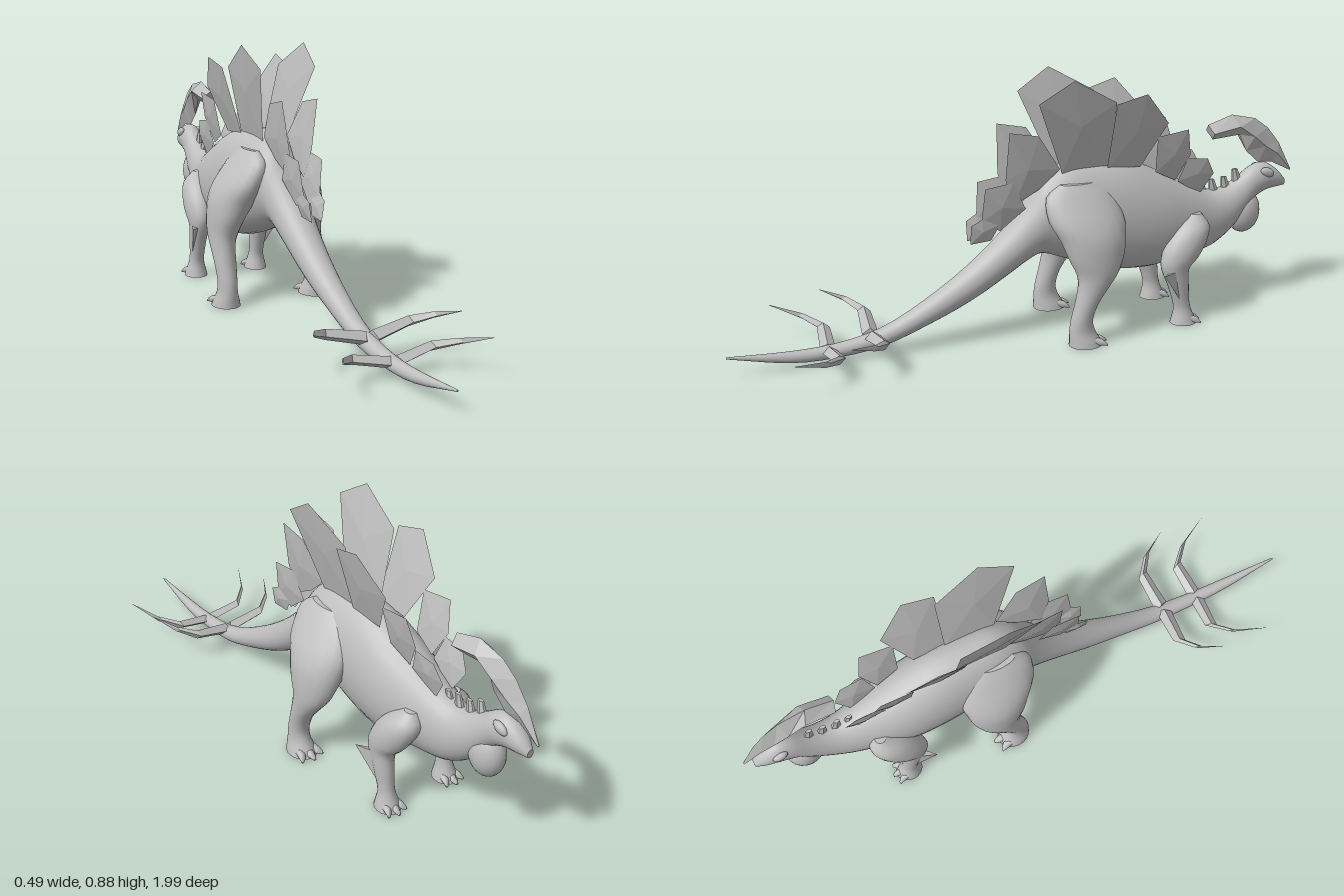
import * as THREE from 'three';

const V = (x, y, z) => new THREE.Vector3(x, y, z);
const skin = new THREE.MeshStandardMaterial({ color: 0xbebebe });
skin.name = 'grey skin';

// Closed indexed geometry, turned so that its faces point outward
function solid(points, index, flat) {
  let volume = 0;
  for (let i = 0; i < index.length; i += 3) {
    const [a, b, c] = [0, 1, 2].map(k => points[index[i + k]]);
    volume += a.dot(V().copy(b).cross(c));
  }
  if (volume < 0) index.reverse();
  let geo = new THREE.BufferGeometry().setFromPoints(points);
  geo.setIndex(index);
  if (flat) geo = geo.toNonIndexed();
  geo.computeVertexNormals();
  return geo;
}

// Skin over elliptical rings; each row is [centre, radius vector u, radius vector v]
function loft(rows, { seg = 20, steps = 3, flat = false } = {}) {
  const n = (rows.length - 1) * steps;
  const curves = [0, 1, 2].map(k => new THREE.CatmullRomCurve3(rows.map(r => r[k]), false, 'catmullrom', 0.5));
  const points = [], index = [];
  for (let i = 0; i <= n; i++) {
    const [c, u, v] = curves.map(curve => curve.getPoint(i / n));
    for (let j = 0; j < seg; j++) {
      const t = j / seg * Math.PI * 2;
      points.push(c.clone().addScaledVector(u, Math.cos(t)).addScaledVector(v, Math.sin(t)));
    }
  }
  for (let i = 0; i < n; i++) for (let j = 0; j < seg; j++) {
    const k = (j + 1) % seg, a = i * seg + j, b = i * seg + k;
    index.push(a, b, a + seg, b, b + seg, a + seg);
  }
  // Separate end caps keep the rims sharp
  for (const end of [0, n]) {
    const base = points.length;
    for (let j = 0; j < seg; j++) points.push(points[end * seg + j].clone());
    points.push(curves[0].getPoint(end / n));
    for (let j = 0; j < seg; j++) {
      const k = (j + 1) % seg;
      if (end) index.push(base + j, base + k, base + seg);
      else index.push(base + k, base + j, base + seg);
    }
  }
  return solid(points, index, flat);
}

// Back plate: an outline of [z, y] leaning outward, slightly raised in the middle
function plate(outline, x0, y0, lean, side) {
  const X = y => Math.max(0.008, x0 + lean * (y - y0));
  const points = outline.map(([z, y]) => V(side * X(y), y, z));
  const n = points.length, mid = V(0, 0, 0), index = [];
  points.forEach(p => mid.addScaledVector(p, 1 / n));
  points.push(mid.clone().add(V(0.008, 0, 0)), mid.clone().add(V(-0.008, 0, 0)));
  for (let j = 0; j < n; j++) index.push(j, (j + 1) % n, n, (j + 1) % n, j, n + 1);
  return solid(points, index, true);
}

// Leg rows: [y, x, half width, rear z, front z]
const legRow = side => ([y, x, a, z0, z1]) =>
  [V(side * x, y, (z0 + z1) / 2), V(a, 0, 0), V(0, 0, (z0 - z1) / 2)];

// Body rows: [z, top, bottom, half width]
const bodyRow = ([z, top, bottom, w]) =>
  [V(0, (top + bottom) / 2, z), V(w, 0, 0), V(0, (top - bottom) / 2, 0)];

const BODY = [
  [0.995, 0.072, 0.066, 0.003], [0.8, 0.058, 0.02, 0.018], [0.65, 0.06, 0.014, 0.024],
  [0.5, 0.09, 0.03, 0.03], [0.35, 0.165, 0.08, 0.038], [0.2, 0.265, 0.145, 0.05],
  [0.08, 0.37, 0.215, 0.062], [0, 0.465, 0.265, 0.075], [-0.05, 0.535, 0.28, 0.087],
  [-0.12, 0.578, 0.255, 0.1], [-0.2, 0.587, 0.225, 0.112], [-0.33, 0.578, 0.187, 0.12],
  [-0.45, 0.53, 0.18, 0.118], [-0.55, 0.48, 0.198, 0.1], [-0.66, 0.43, 0.215, 0.074],
  [-0.73, 0.43, 0.25, 0.058], [-0.79, 0.46, 0.305, 0.048], [-0.84, 0.495, 0.37, 0.042],
  [-0.89, 0.503, 0.4, 0.039], [-0.94, 0.472, 0.408, 0.028], [-0.972, 0.437, 0.41, 0.012],
];
const HIND = [
  [0.53, 0.07, 0.02, -0.09, -0.21], [0.49, 0.075, 0.048, -0.04, -0.27], [0.42, 0.1, 0.072, -0.04, -0.3],
  [0.36, 0.125, 0.073, -0.07, -0.298], [0.3, 0.145, 0.06, -0.092, -0.285], [0.25, 0.156, 0.05, -0.115, -0.265],
  [0.21, 0.163, 0.042, -0.12, -0.235], [0.15, 0.165, 0.037, -0.11, -0.19], [0.09, 0.165, 0.033, -0.095, -0.17],
  [0.05, 0.165, 0.034, -0.09, -0.178], [0.02, 0.165, 0.043, -0.09, -0.195], [0, 0.165, 0.048, -0.09, -0.205],
];
const FORE = [
  [0.38, 0.085, 0.02, -0.56, -0.6], [0.34, 0.095, 0.05, -0.505, -0.625], [0.29, 0.106, 0.053, -0.465, -0.612],
  [0.24, 0.115, 0.045, -0.445, -0.58], [0.2, 0.118, 0.036, -0.445, -0.545], [0.14, 0.12, 0.03, -0.47, -0.545],
  [0.08, 0.12, 0.026, -0.49, -0.55], [0.05, 0.12, 0.028, -0.495, -0.557], [0.02, 0.12, 0.036, -0.49, -0.57],
  [0, 0.12, 0.041, -0.485, -0.58],
];
// Plates: outline [z, y], base x, base y, lean
const PLATES = [
  [[[0.2, 0.41], [0.165, 0.43], [0.1, 0.405], [0.13, 0.35], [0.2, 0.345]], 0.018, 0.35, 0.15],
  [[[0.155, 0.535], [0.06, 0.547], [0.015, 0.45], [0.1, 0.38], [0.165, 0.42]], 0.025, 0.4, 0.12],
  [[[0.08, 0.718], [-0.02, 0.697], [-0.1, 0.575], [-0.03, 0.51], [0.055, 0.46], [0.086, 0.557]], 0.032, 0.5, 0.14],
  [[[-0.118, 0.88], [-0.273, 0.793], [-0.279, 0.56], [-0.107, 0.56], [-0.005, 0.81]], 0.045, 0.57, 0.22],
  [[[-0.365, 0.82], [-0.46, 0.708], [-0.386, 0.555], [-0.263, 0.56], [-0.263, 0.793]], 0.05, 0.56, 0.3],
  [[[-0.54, 0.676], [-0.563, 0.58], [-0.52, 0.49], [-0.44, 0.53], [-0.43, 0.66]], 0.045, 0.5, 0.23],
  [[[-0.633, 0.558], [-0.665, 0.5], [-0.622, 0.425], [-0.53, 0.485], [-0.557, 0.568]], 0.035, 0.45, 0.2],
];
// Crest: top [z, y], bottom [z, y], half width
const CREST = [
  [-0.998, 0.468, -0.996, 0.462, 0.004], [-0.944, 0.568, -0.92, 0.5, 0.016], [-0.895, 0.627, -0.865, 0.505, 0.022],
  [-0.842, 0.665, -0.815, 0.55, 0.03], [-0.75, 0.686, -0.785, 0.612, 0.034], [-0.66, 0.658, -0.68, 0.605, 0.03],
];
// Tail spikes: rows of [x, y, z, half height, half depth]
const SPIKES = [
  [[0.01, 0.07, 0.535, 0.022, 0.026], [0.14, 0.098, 0.525, 0.017, 0.02], [0.2, 0.122, 0.57, 0.01, 0.015], [0.245, 0.15, 0.65, 0.001, 0.001]],
  [[0.01, 0.042, 0.675, 0.018, 0.024], [0.13, 0.066, 0.665, 0.015, 0.02], [0.19, 0.088, 0.72, 0.01, 0.015], [0.24, 0.122, 0.82, 0.001, 0.001]],
];

export function createModel() {
  const model = new THREE.Group();
  const add = (name, geo) => {
    const mesh = new THREE.Mesh(geo, skin);
    mesh.name = name;
    model.add(mesh);
    return mesh;
  };

  add('body', loft(BODY.map(bodyRow), { seg: 28 }));
  add('headCrest', loft(CREST.map(([zt, yt, zb, yb, w]) =>
    [V(0, (yt + yb) / 2, (zt + zb) / 2), V(w, 0, 0), V(0, (yt - yb) / 2, (zt - zb) / 2)]),
  { seg: 4, steps: 1, flat: true }));

  const pouch = add('throatPouch', new THREE.SphereGeometry(1, 20, 14));
  pouch.scale.set(0.05, 0.078, 0.062);
  pouch.position.set(0, 0.332, -0.815);

  // Small spines down the neck
  for (const [z, y] of [[-0.655, 0.43], [-0.695, 0.44], [-0.742, 0.445], [-0.785, 0.468]]) {
    add('neckSpine', loft([[V(0, y - 0.03, z), V(0.012, 0, 0), V(0, 0, 0.02)],
      [V(0, y + 0.022, z + 0.012), V(0.006, 0, 0), V(0, 0, 0.011)]], { seg: 6, steps: 1, flat: true }));
  }

  for (const side of [1, -1]) {
    const label = side > 0 ? 'left' : 'right';
    add(label + 'HindLeg', loft(HIND.map(legRow(side))));
    add(label + 'FrontLeg', loft(FORE.map(legRow(side))));

    // Three toes on each foot, fanned forward
    for (const [x, z, size] of [[0.165, -0.175, 1], [0.12, -0.553, 0.85]]) for (const k of [-1, 0, 1]) {
      const reach = (k ? 0.034 : 0.046) * size;
      add(label + 'Toe', loft([
        [V(side * x + k * 0.02 * size, 0.018, z + 0.025), V(0.015 * size, 0, 0), V(0, 0.018, 0)],
        [V(side * x + k * 0.03 * size, 0.012, z - reach * 0.5), V(0.014 * size, 0, 0), V(0, 0.012, 0)],
        [V(side * x + k * 0.04 * size, 0.003, z - reach), V(0.005, 0, 0), V(0, 0.003, 0)]], { seg: 8, steps: 2 }));
    }

    // Pointed blade behind the elbow
    add(label + 'ElbowBlade', solid([V(side * 0.17, 0.2, -0.43), V(side * 0.145, 0.2, -0.5),
      V(side * 0.125, 0.19, -0.47), V(side * 0.135, 0.065, -0.525)],
    [0, 1, 2, 0, 3, 1, 1, 3, 2, 2, 3, 0], true));

    const brow = add(label + 'Brow', new THREE.SphereGeometry(1, 12, 8));
    brow.scale.set(0.012, 0.016, 0.028);
    brow.position.set(side * 0.034, 0.475, -0.885);
    brow.rotation.x = -0.4;

    for (const p of PLATES) add(label + 'BackPlate', plate(...p, side));
    for (const s of SPIKES) add(label + 'TailSpike', loft(s.map(([x, y, z, h, d]) =>
      [V(side * x, y, z), V(0, h, 0), V(side * d * 0.4, 0, d)]), { seg: 4, steps: 1, flat: true }));
  }
  return model;
}
